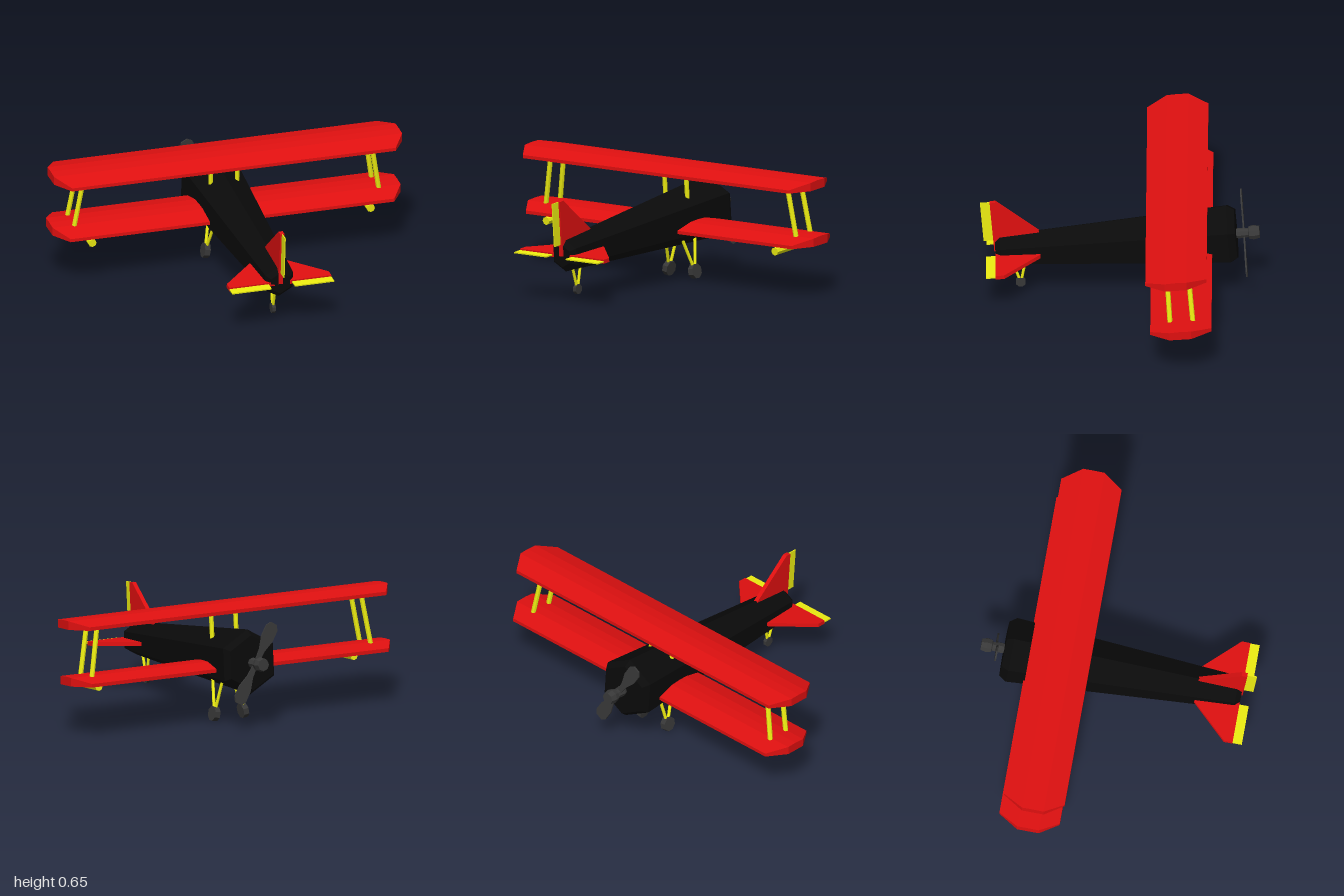
import * as THREE from 'three';

const mat = (color) => new THREE.MeshStandardMaterial({ color, flatShading: true });
const RED = mat(0xe01010), YELLOW = mat(0xeeee11), BLACK = mat(0x0a0a0a), GREY = mat(0x383838);

function add(parent, name, geometry, material) {
  const mesh = new THREE.Mesh(geometry, material);
  mesh.name = name;
  parent.add(mesh);
  return mesh;
}

// round bar between two points
function rod(parent, name, a, b, radius, material = YELLOW) {
  const p = new THREE.Vector3(...a), q = new THREE.Vector3(...b);
  const dir = q.clone().sub(p);
  const mesh = add(parent, name, new THREE.CylinderGeometry(radius, radius, dir.length(), 8), material);
  mesh.position.copy(p).add(q).multiplyScalar(0.5);
  mesh.quaternion.setFromUnitVectors(new THREE.Vector3(0, 1, 0), dir.normalize());
  return mesh;
}

// faceted body of revolution along -z; profile is [radius, distance forward]
function turned(profile, sides) {
  const points = profile.map(([r, s]) => new THREE.Vector2(r, s));
  return new THREE.LatheGeometry(points, sides).rotateX(-Math.PI / 2);
}

// flat plate, centred through its thickness
function plate(points, thickness) {
  const shape = new THREE.Shape(points.map(([x, y]) => new THREE.Vector2(x, y)));
  return new THREE.ExtrudeGeometry(shape, { depth: thickness, bevelEnabled: false })
    .translate(0, 0, -thickness / 2);
}

// wing lofted from aerofoil sections across the span, with clipped tips
function wingGeometry() {
  const full = [[-0.145, 0.596], [-0.145, 0.614], [-0.25, 0.649], [-0.31, 0.657],
    [-0.37, 0.66], [-0.48, 0.64], [-0.48, 0.62]];
  const tip = full.map(([z, y], i) => {
    if (i === 0) return [-0.25, 0.603];
    if (i === 1) return full[2];
    if (i === 5) return full[4];
    if (i === 6) return [-0.37, 0.612];
    return [z, y];
  });
  const n = full.length, pos = [], index = [];
  [[-1, tip], [-0.93, full], [0.93, full], [1, tip]].forEach(([x, section]) =>
    section.forEach(([z, y]) => pos.push(x, y, z)));
  for (let s = 0; s < 3; s++) {
    for (let i = 0; i < n; i++) {
      const a = s * n + i, b = s * n + (i + 1) % n;
      index.push(a, a + n, b, b, a + n, b + n);
    }
  }
  const last = 3 * n;
  for (let i = 1; i < n - 1; i++) {
    index.push(0, i, i + 1, last, last + i + 1, last + i);
  }
  const g = new THREE.BufferGeometry();
  g.setAttribute('position', new THREE.Float32BufferAttribute(pos, 3));
  g.setIndex(index);
  g.computeVertexNormals();
  return g;
}

function wheel(parent, name, position, radius, width, splay) {
  const g = new THREE.CylinderGeometry(radius, radius, width, 8)
    .rotateY(Math.PI / 8).rotateZ(Math.PI / 2);
  const mesh = add(parent, name, g, GREY);
  mesh.position.set(...position);
  mesh.rotation.z = splay;
}

export function createModel() {
  const plane = new THREE.Group();
  plane.name = 'biplane';

  // body, tail and propeller share a nose-up tilt
  const body = new THREE.Group();
  body.name = 'body';
  body.position.y = 0.318;
  body.rotation.x = 0.085;
  plane.add(body);

  add(body, 'fuselage', turned([[0, -0.68], [0.063, -0.68], [0.092, -0.652],
    [0.18, 0.6], [0.152, 0.64], [0, 0.64]], 6), BLACK);

  // tail surfaces
  add(body, 'fin', plate([[0.434, 0.104], [0.434, 0], [0.688, 0], [0.688, 0.307], [0.657, 0.309]], 0.024)
    .rotateY(-Math.PI / 2), RED);
  add(body, 'rudder', new THREE.BoxGeometry(0.006, 0.242, 0.053).translate(0, 0.186, 0.715), YELLOW);
  add(body, 'tailplane', plate([[0.1, 0.434], [0.293, 0.632], [0.293, 0.68], [0.04, 0.68],
    [-0.04, 0.68], [-0.293, 0.68], [-0.293, 0.632], [-0.1, 0.434]], 0.022)
    .rotateX(Math.PI / 2), RED);
  for (const side of [-1, 1]) {
    add(body, 'elevator', new THREE.BoxGeometry(0.226, 0.007, 0.052)
      .translate(side * 0.18, 0, 0.706), YELLOW);
  }

  // propeller
  add(body, 'propellerHub', turned([[0, 0.63], [0.025, 0.63], [0.03, 0.655], [0.026, 0.705],
    [0.036, 0.71], [0.041, 0.735], [0.034, 0.768], [0, 0.768]], 8), GREY);
  for (const turn of [0, Math.PI]) {
    const blade = add(body, 'propellerBlade', plate([[-0.012, 0], [0.012, 0], [0.018, 0.08],
      [0.039, 0.15], [0.039, 0.215], [0.02, 0.242], [-0.02, 0.242], [-0.039, 0.215],
      [-0.039, 0.15], [-0.018, 0.08]], 0.009), GREY);
    blade.position.z = -0.682;
    blade.rotation.z = Math.PI / 6 + turn;
  }

  // wings, the lower one set slightly forward
  const wing = wingGeometry();
  add(plane, 'upperWing', wing, RED);
  add(plane, 'lowerWing', wing, RED).position.set(0, -0.312, -0.027);

  for (const s of [-1, 1]) {
    // wing struts
    rod(plane, 'rearWingStrut', [s * 0.875, 0.33, -0.28], [s * 0.826, 0.615, -0.262], 0.014);
    rod(plane, 'frontWingStrut', [s * 0.875, 0.335, -0.405], [s * 0.826, 0.63, -0.378], 0.014);
    rod(plane, 'cabaneStrut', [s * 0.076, 0.45, -0.328], [s * 0.076, 0.625, -0.312], 0.013);

    // pods under the lower wing
    rod(plane, 'underwingPod', [s * 0.8, 0.256, -0.185], [s * 0.8, 0.269, -0.352], 0.023);

    // main landing gear
    rod(plane, 'rearGearLeg', [s * 0.06, 0.225, -0.305], [s * 0.088, 0.06, -0.371], 0.009);
    rod(plane, 'frontGearLeg', [s * 0.06, 0.235, -0.413], [s * 0.088, 0.06, -0.38], 0.009);
    wheel(plane, 'mainWheel', [s * 0.09, 0.047, -0.375], 0.042, 0.032, s * 0.18);
  }

  // tail wheel
  rod(plane, 'tailGearLeg', [0, 0.18, 0.583], [0, 0.065, 0.544], 0.008);
  rod(plane, 'tailGearLeg', [0, 0.18, 0.518], [0, 0.065, 0.538], 0.008);
  wheel(plane, 'tailWheel', [0, 0.061, 0.541], 0.029, 0.02, 0);

  return plane;
}
